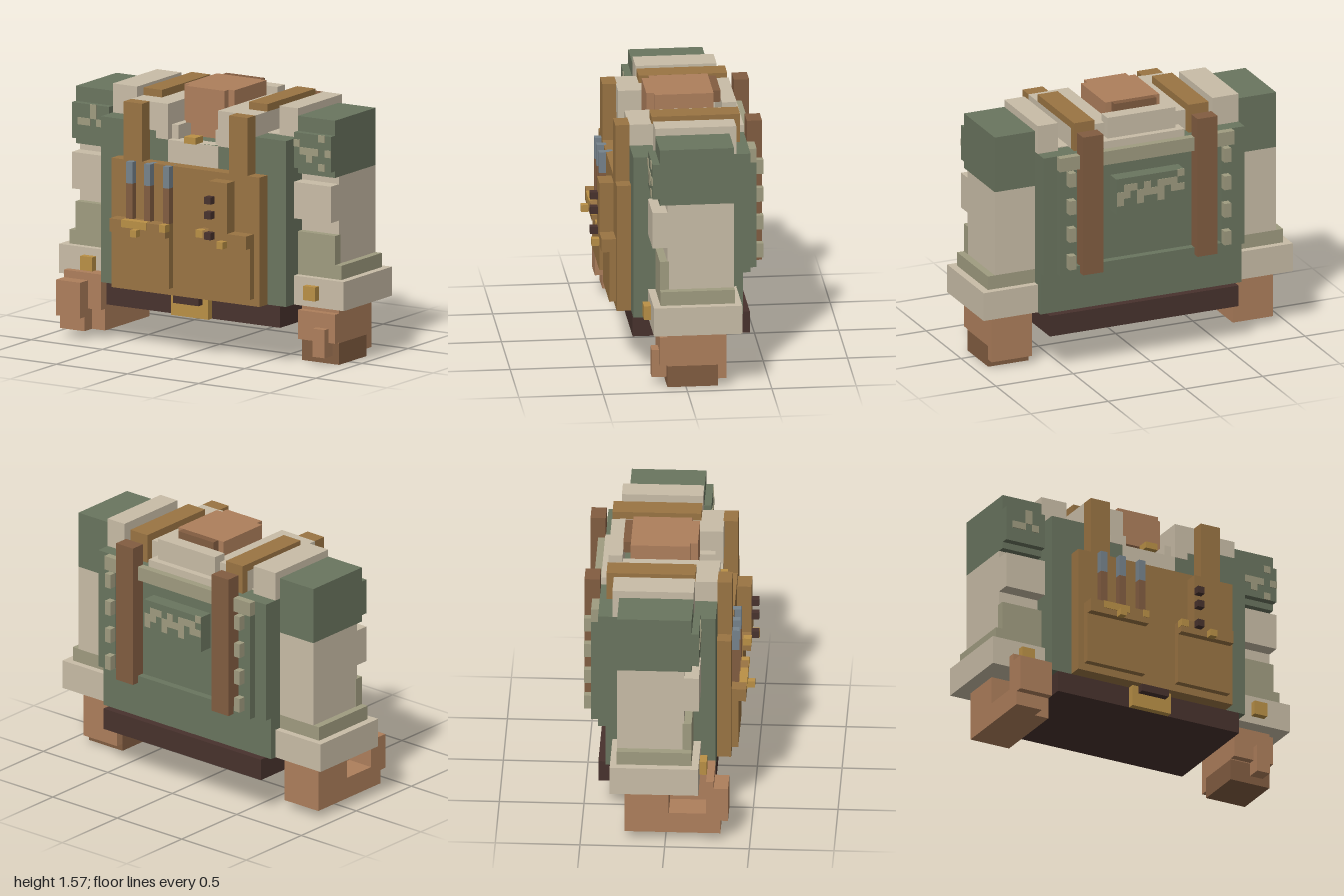
import * as THREE from 'three';

const mat = (name, color) => {
  const m = new THREE.MeshStandardMaterial({ color });
  m.name = name;
  return m;
};

export function createModel() {
  const root = new THREE.Group();
  root.name = 'workerTorso';
  const green = mat('vestGreen', 0x6a755f), beige = mat('shirtBeige', 0xc9bda7), olive = mat('olive', 0xa09c80);
  const leather = mat('apronLeather', 0x9a7443), gold = mat('brass', 0xba9046), skin = mat('skin', 0xae7f5c);
  const brown = mat('darkLeather', 0x825d41), dark = mat('beltDark', 0x48322d), steel = mat('toolSteel', 0x76838c);

  // Box from its limits on each axis
  const box = (name, m, x0, x1, y0, y1, z0, z1) => {
    const mesh = new THREE.Mesh(new THREE.BoxGeometry(x1 - x0, y1 - y0, z1 - z0), m);
    mesh.position.set((x0 + x1) / 2, (y0 + y1) / 2, (z0 + z1) / 2);
    mesh.name = name;
    root.add(mesh);
  };
  const pair = (name, m, x0, x1, ...r) => {
    box(name, m, x0, x1, ...r);
    box(name, m, -x1, -x0, ...r);
  };

  // Vest body with a notch at the throat
  box('vestBody', green, -0.65, 0.65, 0.35, 1.265, -0.365, 0.285);
  pair('vestShoulder', green, 0.26, 0.65, 1.265, 1.35, -0.365, 0.285);
  box('vestBackUpper', green, -0.26, 0.26, 1.265, 1.35, -0.365, -0.1);
  box('vestBackPanel', green, -0.65, 0.65, 0.61, 1.35, -0.41, -0.365);

  // Shirt, yoke and collar
  box('shirtFront', beige, -0.175, 0.175, 1.13, 1.265, 0.2, 0.29);
  pair('lapelLower', beige, 0.175, 0.26, 1.265, 1.31, -0.1, 0.29);
  pair('lapel', beige, 0.175, 0.305, 1.31, 1.48, -0.325, 0.29);
  pair('lapelStep', beige, 0.13, 0.175, 1.265, 1.35, 0.11, 0.245);
  pair('yoke', beige, 0.305, 0.435, 1.35, 1.48, -0.325, 0.285);
  pair('yokeSide', beige, 0.435, 0.52, 1.35, 1.355, -0.285, 0.15);
  box('collarBack', beige, -0.22, 0.22, 1.35, 1.525, -0.37, -0.285);
  box('collarBackLower', beige, -0.26, 0.26, 1.35, 1.395, -0.41, -0.285);
  box('shoulderPad', beige, -0.65, -0.48, 1.35, 1.525, -0.325, 0.155);
  box('shoulderPad', beige, 0.52, 0.65, 1.35, 1.525, -0.325, 0.155);
  box('collarButton', gold, -0.04, 0.04, 1.265, 1.305, 0.245, 0.325);

  // Neck
  box('neck', skin, -0.175, 0.175, 1.35, 1.57, -0.24, 0.11);
  box('neckFront', skin, -0.135, 0.135, 1.35, 1.57, 0.11, 0.155);
  box('throat', skin, -0.13, 0.13, 1.265, 1.35, -0.1, 0.11);
  box('neckBack', brown, -0.135, 0.135, 1.5, 1.57, -0.285, -0.24);

  // Belt and buckle
  box('belt', dark, -0.61, 0.61, 0.22, 0.35, -0.41, 0.285);
  box('buckle', gold, -0.13, 0.13, 0.22, 0.35, 0.285, 0.325);
  box('buckleSlot', dark, -0.09, 0.09, 0.305, 0.35, 0.325, 0.37);

  // Apron with straps over the shoulders
  box('apron', leather, -0.52, 0.52, 0.35, 1.13, 0.285, 0.37);
  pair('strapFront', leather, 0.305, 0.435, 1.13, 1.48, 0.285, 0.37);
  pair('strapTop', leather, 0.305, 0.435, 1.48, 1.525, -0.37, 0.155);
  pair('strapBack', brown, 0.305, 0.435, 0.61, 1.48, -0.5, -0.41);
  pair('strapBackTop', leather, 0.305, 0.435, 1.35, 1.48, -0.37, -0.325);

  // Apron pockets
  box('toolPocket', leather, -0.48, -0.09, 0.395, 0.705, 0.37, 0.41);
  box('toolPocketFlap', leather, -0.48, -0.09, 0.705, 0.785, 0.37, 0.455);
  box('sidePocket', leather, 0.13, 0.48, 0.395, 0.705, 0.37, 0.41);
  box('sidePocketFlap', leather, 0.13, 0.48, 0.705, 0.785, 0.37, 0.455);
  box('tallPocket', leather, 0.215, 0.345, 0.785, 1.09, 0.37, 0.455);
  box('pocketStud', gold, -0.305, -0.265, 0.7, 0.742, 0.455, 0.5);
  box('pocketStud', gold, 0.3, 0.345, 0.7, 0.742, 0.455, 0.5);
  box('flapTrim', gold, -0.395, -0.22, 0.742, 0.787, 0.41, 0.459);
  box('flapTrim', gold, -0.13, -0.088, 0.742, 0.787, 0.41, 0.459);
  box('flapTrim', gold, 0.128, 0.175, 0.742, 0.787, 0.41, 0.459);
  for (const y of [0.745, 0.87, 0.96]) box('pegButton', dark, 0.215, 0.26, y, y + 0.043, 0.455, 0.5);

  // Tools in the pocket
  for (const x of [-0.39, -0.265, -0.133]) {
    box('toolHandle', brown, x, x + 0.043, 0.785, 1.0, 0.37, 0.412);
    box('toolTip', steel, x, x + 0.043, 1.0, 1.13, 0.33, 0.412);
  }

  // Back: top bar, lower bar, side loops and pouch
  box('backBar', olive, -0.565, 0.565, 1.265, 1.35, -0.455, -0.41);
  box('backLowerBar', green, -0.565, 0.565, 0.61, 0.655, -0.455, -0.41);
  pair('loopStrip', green, 0.48, 0.565, 0.61, 1.265, -0.455, -0.41);
  for (let i = 0; i < 4; i++) {
    const y = 0.655 + i * 0.174;
    pair('backLoop', olive, 0.48, 0.523, y, y + 0.087, -0.5, -0.455);
  }
  box('backPouch', green, -0.22, 0.22, 0.96, 1.18, -0.497, -0.41);

  // Camouflage patches: column, row, width and height in small squares
  const u = 0.0435;
  const camo = (x, y, z, cells) => cells.forEach(([c, r, w, h]) =>
    box('camoPatch', olive, x + c * u, x + (c + w) * u, y + r * u, y + (r + h) * u, z - 0.003, z + 0.003));
  camo(-0.22, 0.965, -0.497, [[0, 2, 2, 1], [1, 3, 3, 1], [3, 1, 1, 2], [4, 2, 2, 1], [5, 3, 1, 1],
    [6, 1, 1, 2], [7, 3, 2, 1], [8, 2, 1, 1], [9, 1, 1, 2], [0, 4, 1, 1]]);
  camo(-0.91, 1.175, 0.2, [[1, 2, 2, 1], [3, 3, 1, 2], [4, 2, 1, 1]]);
  camo(0.65, 1.175, 0.2, [[0, 3, 1, 1], [1, 2, 2, 1], [2, 1, 1, 1], [3, 2, 1, 1], [4, 4, 1, 1], [4, 0, 1, 1], [5, 2, 1, 1]]);

  // Arms
  pair('shoulder', green, 0.65, 0.91, 1.135, 1.48, -0.285, 0.155);
  pair('shoulderPanel', green, 0.65, 0.91, 1.175, 1.39, 0.155, 0.198);
  pair('upperSleeve', beige, 0.65, 0.91, 0.61, 1.135, -0.285, 0.11);
  pair('sleeveFold', beige, 0.65, 0.91, 0.87, 1.09, 0.11, 0.198);
  pair('sleeveBand', olive, 0.65, 0.912, 0.61, 0.785, 0.1, 0.155);
  pair('cuffUpper', olive, 0.65, 0.955, 0.525, 0.61, -0.285, 0.155);
  pair('cuff', beige, 0.65, 1, 0.35, 0.525, -0.325, 0.198);
  pair('cuffButton', gold, 0.74, 0.825, 0.395, 0.48, 0.198, 0.24);

  // Left hand, relaxed
  box('leftHand', skin, 0.65, 0.91, 0.13, 0.35, -0.24, 0.11);
  box('leftHandFront', skin, 0.65, 0.91, 0.135, 0.31, 0.11, 0.155);
  box('leftHandHeel', skin, 0.65, 0.91, 0.045, 0.13, -0.24, -0.19);
  box('leftFingers', brown, 0.65, 0.91, 0, 0.13, -0.19, 0.11);
  box('leftThumb', skin, 0.78, 0.865, 0.05, 0.22, 0.11, 0.198);

  // Right hand, curled forward around an open grip
  box('rightHand', skin, -0.91, -0.65, 0.05, 0.35, -0.24, 0.02);
  box('rightPalm', skin, -0.91, -0.65, 0.05, 0.18, 0.02, 0.24);
  box('rightGripWall', skin, -0.74, -0.65, 0.18, 0.35, 0.02, 0.198);
  box('rightKnuckles', skin, -0.91, -0.74, 0.05, 0.395, 0.24, 0.285);
  box('rightFingers', skin, -0.91, -0.74, 0.135, 0.35, 0.285, 0.37);
  box('rightFingerTips', skin, -0.91, -0.74, 0.05, 0.135, 0.285, 0.325);
  box('rightThumb', skin, -0.74, -0.65, 0.18, 0.395, 0.198, 0.285);

  return root;
}
